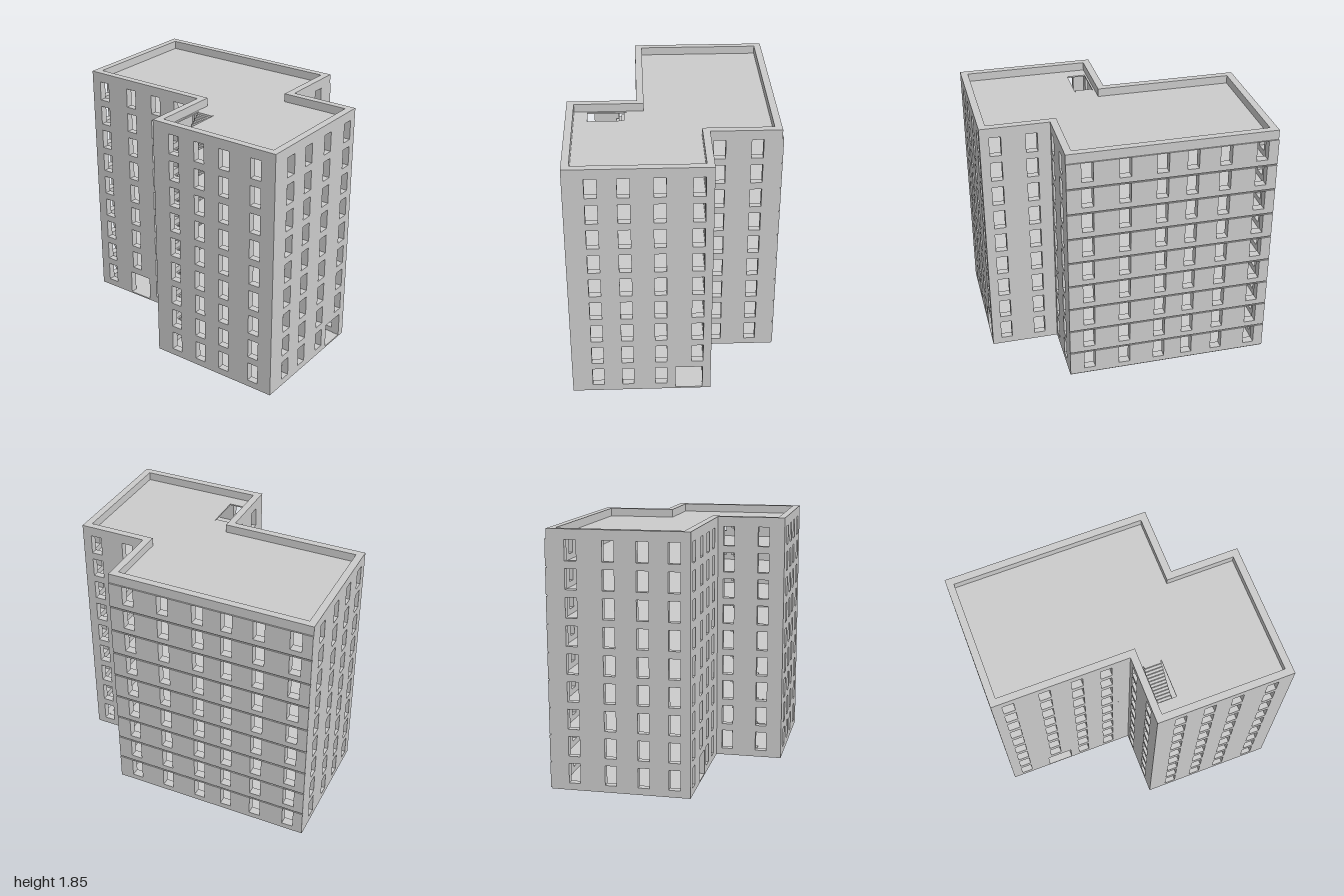
import * as THREE from 'three';

const FLOORS = 9, PITCH = 0.1975, SLAB = 0.01, T = 0.052, WIN = 0.083;
const TOP = 1.848;
const material = new THREE.MeshStandardMaterial({ color: 0xcccccc, flatShading: true });

// stepped footprint (x, z) and the same outline moved inwards by the wall thickness
const X = [-0.755, -0.255, 0.245, 0.745];
const outline = (t) => [
  [X[1] + t, -1 + t], [X[3] - t, -1 + t], [X[3] - t, 0.5 - t], [X[2] - t, 0.5 - t],
  [X[2] - t, 1 - t], [X[0] + t, 1 - t], [X[0] + t, t], [X[1] + t, t],
].map(([x, z]) => new THREE.Vector2(x, z));

const rect = (a, b, c, d) => [[a, c], [b, c], [b, d], [a, d]].map(([x, y]) => new THREE.Vector2(x, y));

function extrude(points, holes, depth) {
  const shape = new THREE.Shape(points);
  holes.forEach((h) => shape.holes.push(new THREE.Path(h)));
  return new THREE.ExtrudeGeometry(shape, { depth, bevelEnabled: false });
}

// horizontal plate whose upper face is at height top
const plate = (points, holes, depth, top) =>
  extrude(points, holes, depth).rotateX(Math.PI / 2).translate(0, top, 0);

// axis: direction the wall runs; from/to: extent; min: lower coordinate across its thickness;
// wins: lower edges of the windows; door: [window replaced on the ground floor, start, end]
const walls = [
  { name: 'frontWall', axis: 'x', from: X[0], to: X[2], min: 1 - T, wins: [-0.61, -0.395, -0.155, 0.105], door: [3, -0.01, 0.185] },
  { name: 'frontRecessWall', axis: 'x', from: X[2] - T, to: X[3], min: 0.5 - T, wins: [0.272, 0.535] },
  { name: 'backWall', axis: 'x', from: X[1], to: X[3], min: -1, wins: [-0.185, 0.035, 0.272, 0.535] },
  { name: 'backRecessWall', axis: 'x', from: X[0], to: X[1] + T, min: 0, wins: [-0.64, -0.38] },
  { name: 'leftWall', axis: 'z', from: -1, to: 0.5, min: X[3] - T, thick: T + 0.01, wins: [-0.927, -0.665, -0.43, -0.216, 0.048, 0.312] },
  { name: 'leftRecessWall', axis: 'z', from: 0.5 - T, to: 1, min: X[2] - T, wins: [0.593, 0.85] },
  { name: 'rightWall', axis: 'z', from: 0, to: 1, min: X[0], wins: [0.134, 0.348, 0.553, 0.807] },
  { name: 'rightRecessWall', axis: 'z', from: -1, to: T, min: X[1], wins: [-0.927, -0.665, -0.43, -0.216], door: [1, -0.69, -0.5] },
];

function wallGeometry({ axis, from, to, min, thick = T, wins, door }, floor) {
  const h = PITCH - SLAB;
  const holes = wins.map((w, i) =>
    door && floor === 0 && door[0] === i
      ? rect(door[1], door[2], 0.001, h - 0.002)
      : rect(w, w + WIN, 0.041, h - 0.002));
  const geo = extrude(rect(from, to, 0, h), holes, thick);
  if (axis === 'z') geo.rotateY(-Math.PI / 2).translate(min + thick, 0, 0);
  else geo.translate(0, 0, min);
  return geo.translate(0, floor * PITCH + SLAB, 0);
}

export function createModel() {
  const model = new THREE.Group();
  model.name = 'apartmentBlock';
  const add = (parent, name, geometry) => {
    const mesh = new THREE.Mesh(geometry, material);
    mesh.name = name;
    parent.add(mesh);
    return mesh;
  };

  // floor slabs and roof, with a stairwell opening above the ground
  const stairwell = rect(-0.605, -0.325, 0.065, 0.2);
  for (let k = 0; k <= FLOORS; k++) {
    const name = k === 0 ? 'groundSlab' : k === FLOORS ? 'roofSlab' : 'floorSlab';
    add(model, name, plate(outline(0), k ? [stairwell] : [], SLAB, k * PITCH + SLAB));
  }

  // storeys: pierced walls and a straight flight of stairs
  const STEPS = 12, run = 0.225 / STEPS, rise = PITCH / STEPS;
  for (let k = 0; k < FLOORS; k++) {
    const storey = new THREE.Group();
    storey.name = 'storey';
    model.add(storey);
    walls.forEach((w) => add(storey, w.name, wallGeometry(w, k)));

    const stairs = new THREE.Group();
    stairs.name = 'stairs';
    storey.add(stairs);
    for (let i = 0; i < STEPS; i++) {
      const step = add(stairs, 'step', new THREE.BoxGeometry(run, rise, 0.125));
      step.position.set(-0.55 + (i + 0.5) * run, k * PITCH + SLAB + (i + 0.5) * rise, 0.1325);
    }
  }

  // parapet around the roof
  const roofTop = FLOORS * PITCH + SLAB;
  add(model, 'parapet', plate(outline(0), [outline(T)], TOP - roofTop, TOP));
  return model;
}
